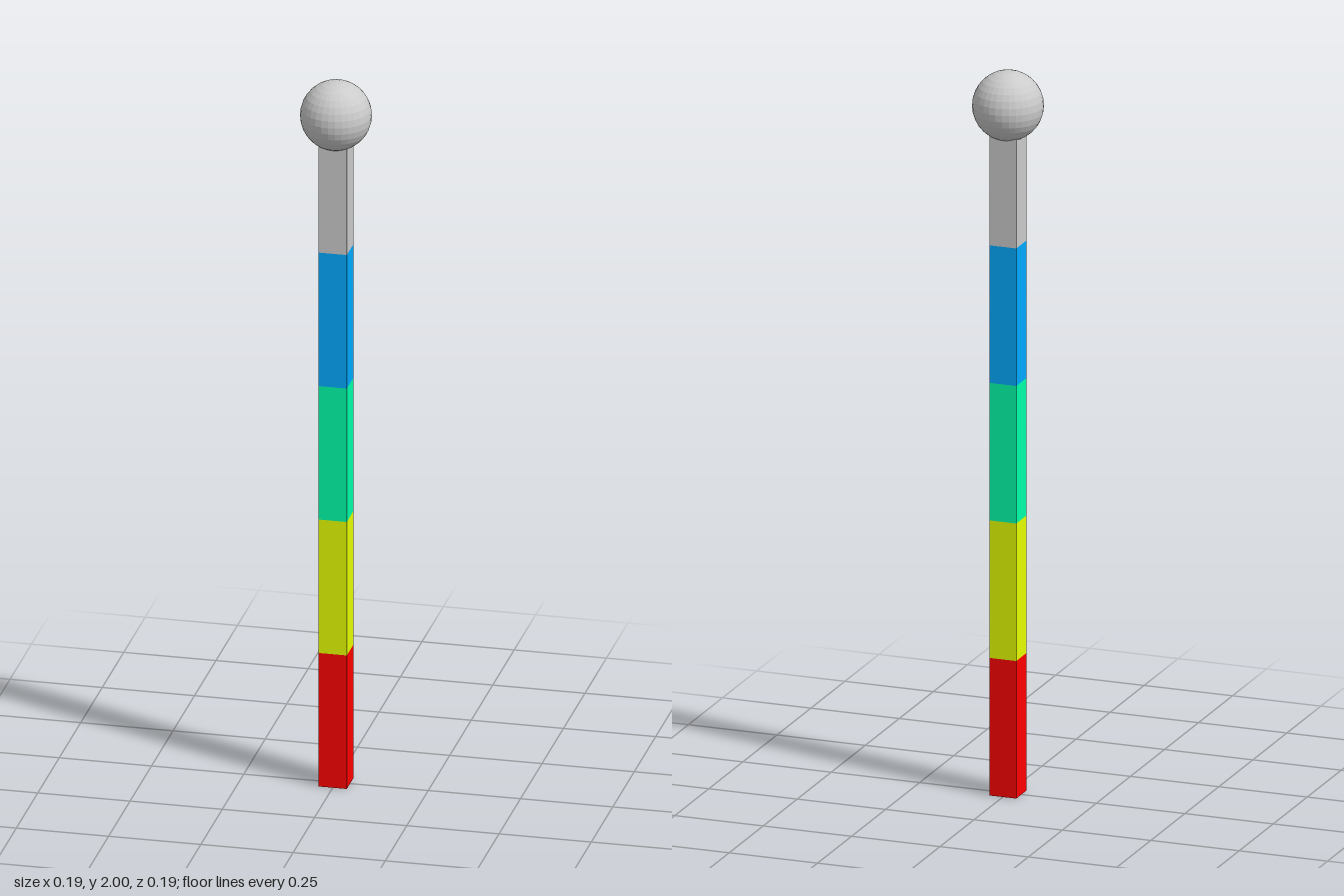
import * as THREE from 'three';

const SEGMENT = 0.381; // height of one coloured band
const WIDTH = 0.076;
const RADIUS = 0.095;

export function createModel() {
  const group = new THREE.Group();
  const add = (name, geometry, color, y) => {
    const material = new THREE.MeshStandardMaterial({ color, flatShading: true });
    const mesh = new THREE.Mesh(geometry, material);
    mesh.name = name;
    mesh.position.y = y;
    group.add(mesh);
  };

  // Square pole, stacked from coloured bands, bottom to top
  const bands = [
    ['redBand', 0xff0000],
    ['yellowBand', 0xe6ff00],
    ['greenBand', 0x00ffaa],
    ['blueBand', 0x00aaff],
    ['greyBand', 0xcccccc],
  ];
  bands.forEach(([name, color], i) => {
    add(name, new THREE.BoxGeometry(WIDTH, SEGMENT, WIDTH), color, (i + 0.5) * SEGMENT);
  });

  // Faceted ball centred on the pole's top end
  add('topBall', new THREE.SphereGeometry(RADIUS, 32, 16), 0xcccccc, bands.length * SEGMENT);

  return group;
}
